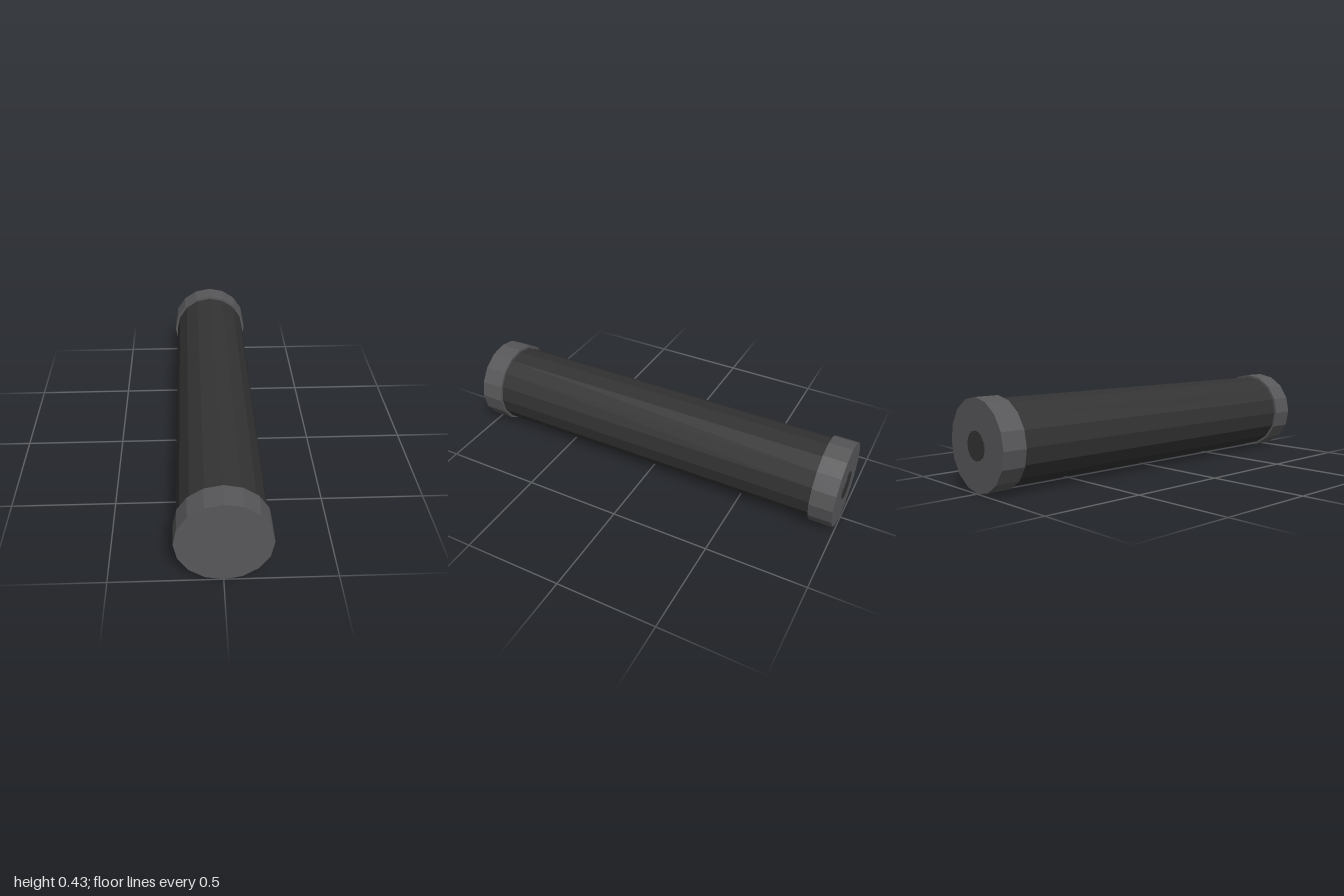
import * as THREE from 'three';

const SIDES = 16;
const CENTRE_Y = 0.213;

export function createModel() {
  const group = new THREE.Group();
  const dark = new THREE.MeshStandardMaterial({ color: 0x333333, flatShading: true });
  dark.name = 'dark grey';
  const grey = new THREE.MeshStandardMaterial({ color: 0x58585a, flatShading: true });
  grey.name = 'mid grey';

  // Cylinder lying along z, between two z positions
  function rod(name, radius, z0, z1, material) {
    const geometry = new THREE.CylinderGeometry(radius, radius, z1 - z0, SIDES);
    geometry.rotateX(Math.PI / 2);
    const mesh = new THREE.Mesh(geometry, material);
    mesh.name = name;
    mesh.position.set(0, CENTRE_Y, (z0 + z1) / 2);
    group.add(mesh);
  }

  // Long tube with a wider cap on each end
  rod('body', 0.2, -0.9, 0.9, dark);
  rod('frontCap', 0.213, 0.88, 1, grey);
  rod('backCap', 0.213, -0.996, -0.88, grey);

  // Small disc on the back cap
  rod('backButton', 0.068, -1, -0.994, dark);

  return group;
}
